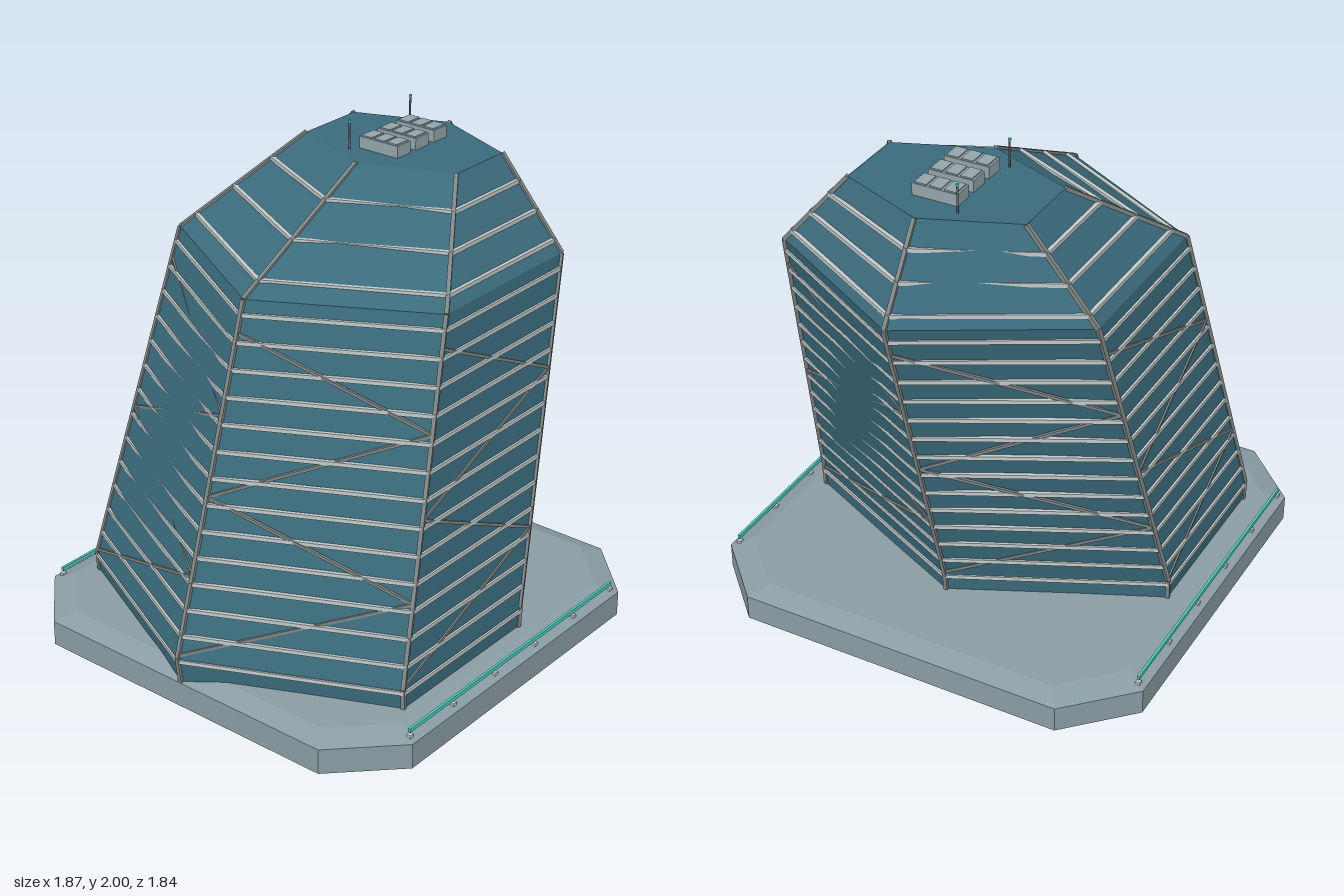
import * as THREE from 'three';

const mat = (name, color) => {
  const m = new THREE.MeshStandardMaterial({ color });
  m.name = name;
  return m;
};

// Solid through rings of points that run clockwise seen from above; one normal per panel.
function loft(rings) {
  const pos = [], nor = [];
  const tri = (normal, ...pts) => pts.forEach((p) => {
    pos.push(p.x, p.y, p.z);
    nor.push(normal.x, normal.y, normal.z);
  });
  const n = rings[0].length;
  for (let k = 0; k < rings.length - 1; k++) {
    for (let i = 0; i < n; i++) {
      const j = (i + 1) % n;
      const a = rings[k][i], b = rings[k][j], c = rings[k + 1][j], d = rings[k + 1][i];
      const normal = a.clone().sub(c).cross(d.clone().sub(b)).normalize();
      tri(normal, b, a, d);
      tri(normal, b, d, c);
    }
  }
  const low = rings[0], top = rings[rings.length - 1];
  const up = new THREE.Vector3(0, 1, 0), down = new THREE.Vector3(0, -1, 0);
  for (let i = 1; i < n - 1; i++) {
    tri(down, low[0], low[i], low[i + 1]);
    tri(up, top[0], top[i + 1], top[i]);
  }
  const g = new THREE.BufferGeometry();
  g.setAttribute('position', new THREE.Float32BufferAttribute(pos, 3));
  g.setAttribute('normal', new THREE.Float32BufferAttribute(nor, 3));
  return g;
}

// Leaning hexagonal sections: height, centre x, half width, half depth
const sections = [
  [0, -0.19, 0.71, 0.78],
  [0.22, -0.19, 0.737, 0.783],
  [1.55, 0.202, 0.722, 0.645],
  [1.885, 0.413, 0.29, 0.36],
];
const hexX = [1, 0.5, -0.5, -1, -0.5, 0.5];
const hexZ = [0, 1, 1, 0, -1, -1];

function hexAt(y) {
  let k = 0;
  while (k < sections.length - 2 && y > sections[k + 1][0]) k++;
  const a = sections[k], b = sections[k + 1];
  const t = (y - a[0]) / (b[0] - a[0]);
  const [cx, r, d] = [1, 2, 3].map((i) => a[i] + (b[i] - a[i]) * t);
  return hexX.map((hx, i) => new THREE.Vector3(cx + r * hx, y, d * hexZ[i]));
}

// Octagon with half size h and corner coordinate c
const octagon = (y, h, c) =>
  [[h, -c], [h, c], [c, h], [-c, h], [-h, c], [-h, -c], [-c, -h], [c, -h]]
    .map(([x, z]) => new THREE.Vector3(x, y, z));

export function createModel() {
  const model = new THREE.Group();
  model.name = 'leaningTower';
  const glass = mat('blue glass', 0x3b6b7c);
  const stone = mat('grey stone', 0x8a9da4);
  const bandMat = mat('pale metal', 0xc2cacb);
  const frameMat = mat('frame metal', 0x7f8687);
  const unitMat = mat('roof unit grey', 0x93a5ab);
  const mastMat = mat('dark mast', 0x596468);
  const railMat = mat('teal rail', 0x50cfc0);

  const add = (name, geo, material, parent = model, x = 0, y = 0, z = 0) => {
    const m = new THREE.Mesh(geo, material);
    m.name = name;
    m.position.set(x, y, z);
    parent.add(m);
    return m;
  };
  const group = (name) => {
    const g = new THREE.Group();
    g.name = name;
    model.add(g);
    return g;
  };
  // Square bar between two points
  const beam = (name, a, b, size, material, parent) => {
    const m = add(name, new THREE.BoxGeometry(size, size, a.distanceTo(b)), material, parent);
    m.position.copy(a).lerp(b, 0.5);
    m.lookAt(b);
  };

  // Plinth with bevelled top
  add('plinth', loft([octagon(0, 0.92, 0.677), octagon(0.105, 0.92, 0.677), octagon(0.135, 0.84, 0.625)]), stone);

  // Glass body, with its underside tipped very slightly through the plinth
  const rings = sections.map((s) => hexAt(s[0]));
  rings[0].forEach((p) => { p.y = -0.001 * (p.x + 0.25 + 0.44 * p.z); });
  add('glassBody', loft(rings), glass);

  // Ridge frames up the six corners
  const ridges = group('ridgeFrames');
  for (let i = 0; i < 6; i++) {
    const path = [0.1, 0.22, 1.55, 1.885].map((y) => hexAt(y)[i]);
    for (let k = 0; k < 3; k++) beam('ridgeFrame', path[k], path[k + 1], 0.016, frameMat, ridges);
  }

  // Floor bands around every storey
  const bands = group('floorBands');
  for (let f = 0; f < 17; f++) {
    const ring = hexAt(0.205 + f * 0.0992);
    for (let i = 0; i < 6; i++) beam('floorBand', ring[i], ring[(i + 1) % 6], 0.016, bandMat, bands);
  }

  // Zigzag braces on each face
  const braces = group('zigzagBraces');
  for (let i = 0; i < 6; i++) {
    const sides = [(i + 1) % 6, i];
    for (let k = 0; k < 4; k++) {
      const a = hexAt(0.23 + k * 0.3)[sides[k % 2]];
      const b = hexAt(0.53 + k * 0.3)[sides[(k + 1) % 2]];
      beam('brace', a, b, 0.012, frameMat, braces);
    }
  }

  // Roof units with lid panels
  const units = group('roofUnits');
  for (const x of [0.298, 0.41, 0.524]) {
    add('roofUnit', new THREE.BoxGeometry(0.08, 0.048, 0.184), unitMat, units, x, 1.908, 0);
    for (const z of [-0.06, 0, 0.06]) {
      add('unitLid', new THREE.BoxGeometry(0.072, 0.006, 0.048), unitMat, units, x, 1.934, z);
    }
  }

  // Roof masts with teal tips
  for (const x of [0.225, 0.6]) {
    add('mast', new THREE.CylinderGeometry(0.004, 0.004, 0.115, 8), mastMat, model, x, 1.938, -0.113);
    add('mastTip', new THREE.CylinderGeometry(0.006, 0.006, 0.008, 8), railMat, model, x, 1.996, -0.113);
  }

  // Light rails over small blocks along the front and back of the plinth
  for (const z of [-0.89, 0.89]) {
    add('rail', new THREE.BoxGeometry(1.32, 0.016, 0.01), railMat, model, 0, 0.143, z);
    for (let k = 0; k < 6; k++) {
      add('railBlock', new THREE.BoxGeometry(0.02, 0.016, 0.018), bandMat, model, -0.655 + k * 0.262, 0.118, z);
    }
  }
  return model;
}
